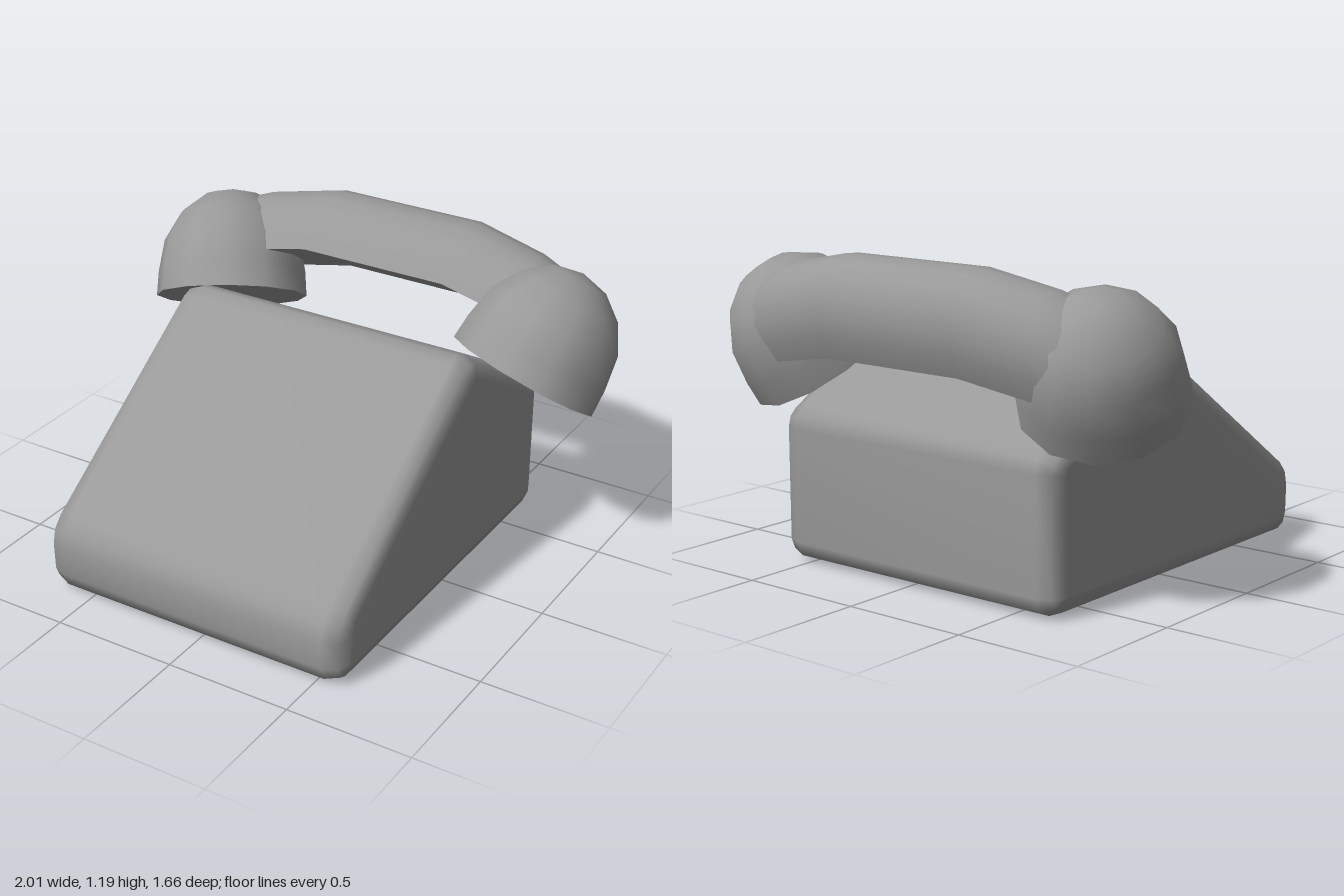
import * as THREE from 'three';
import { toCreasedNormals } from 'three/addons/utils/BufferGeometryUtils.js';

const material = new THREE.MeshStandardMaterial({ color: 0x999999 });

// Closed skin over rings of [x, y, z] points that run along +x, capped at both ends.
function loft(rings) {
  const n = rings[0].length, index = [];
  for (let i = 0; i < rings.length - 1; i++) {
    for (let j = 0; j < n; j++) {
      const k = (j + 1) % n;
      const a = i * n + j, b = i * n + k, c = a + n, d = b + n;
      index.push(a, c, b, b, c, d);
    }
  }
  const last = (rings.length - 1) * n;
  for (let j = 1; j < n - 1; j++) {
    index.push(0, j, j + 1, last, last + j + 1, last + j);
  }
  const geometry = new THREE.BufferGeometry();
  geometry.setAttribute('position', new THREE.Float32BufferAttribute(rings.flat(2), 3));
  geometry.setIndex(index);
  geometry.computeVertexNormals();
  return geometry;
}

function part(name, geometry) {
  const mesh = new THREE.Mesh(geometry, material);
  mesh.name = name;
  return mesh;
}

// Wedge body: side profile with rounded corners, bevelled towards both sides.
function bodyGeometry() {
  const bevel = 0.08, halfWidth = 0.652, centreX = -0.038;
  // corner centre z, y, radius, and the start and end angle of its arc in degrees
  const corners = [
    [0.75, 0.08, 0.08, -90, 0],
    [0.685, 0.19, 0.148, 0, 55],
    [-0.13, 0.805, 0.1, 55, 120],
    [-0.63, 0.515, 0.1, 120, 180],
    [-0.65, 0.08, 0.08, 180, 270],
  ];
  const ring = (side, phi) => corners.flatMap(([z, y, r, from, to]) =>
    [0, 0.5, 1].map((t) => {
      const a = THREE.MathUtils.degToRad(from + (to - from) * t);
      const d = r - bevel + bevel * Math.cos(phi);
      return [
        centreX + side * (halfWidth - bevel + bevel * Math.sin(phi)),
        y + d * Math.sin(a),
        z + d * Math.cos(a),
      ];
    }));
  // the outermost ring stops just short of closing the bevel
  const steps = [1.55, Math.PI / 4, 0];
  return loft([
    ...steps.map((phi) => ring(-1, phi)),
    ...steps.reverse().map((phi) => ring(1, phi)),
  ]);
}

// Handle: D-shaped section, flat underneath, tilted back; its ends sink into the cups.
function handleGeometry() {
  const tilt = THREE.MathUtils.degToRad(30), segments = 10;
  const c = Math.cos(tilt), s = Math.sin(tilt);
  // x, droop, section scale
  const half = [[0.31, 0, 1], [0.6, 0.06, 0.98], [0.72, 0.1, 0.95], [0.86, 0.17, 0.72]];
  const stations = [
    ...half.map(([x, droop, scale]) => [-x, droop, scale]).reverse(),
    ...half,
  ];
  const geometry = loft(stations.map(([x, droop, scale]) =>
    Array.from({ length: segments + 1 }, (_, j) => {
      const a = (j / segments) * Math.PI;
      const u = 0.212 * scale * Math.cos(a);
      const v = 0.283 * scale * Math.sin(a) - droop;
      return [x, 0.923 + u * s + v * c, -0.594 + u * c - v * s];
    })));
  return toCreasedNormals(geometry, 1);
}

// Cup: short cylinder with a flat face, closed by a tall dome.
function cupGeometry() {
  const points = [new THREE.Vector2(0, 0), new THREE.Vector2(0.31, 0)];
  for (let i = 0; i <= 4; i++) {
    const a = (i / 4) * Math.PI / 2;
    points.push(new THREE.Vector2(i === 4 ? 0 : 0.304 * Math.cos(a), 0.1 + 0.345 * Math.sin(a)));
  }
  return toCreasedNormals(new THREE.LatheGeometry(points, 12), 1);
}

export function createModel() {
  const model = new THREE.Group();
  model.name = 'telephone';
  model.add(part('body', bodyGeometry()));

  const handset = new THREE.Group();
  handset.name = 'handset';
  handset.add(part('handle', handleGeometry()));

  // Cups lean back and outwards
  const cup = cupGeometry();
  const up = new THREE.Vector3(0, 1, 0);
  for (const [name, side] of [['leftCup', 1], ['rightCup', -1]]) {
    const mesh = part(name, cup);
    mesh.position.set(side * 0.672, 0.731, -0.425);
    const axis = new THREE.Vector3(side * 0.28, 0.84, -0.47).normalize();
    mesh.quaternion.setFromUnitVectors(up, axis);
    handset.add(mesh);
  }
  model.add(handset);
  return model;
}
